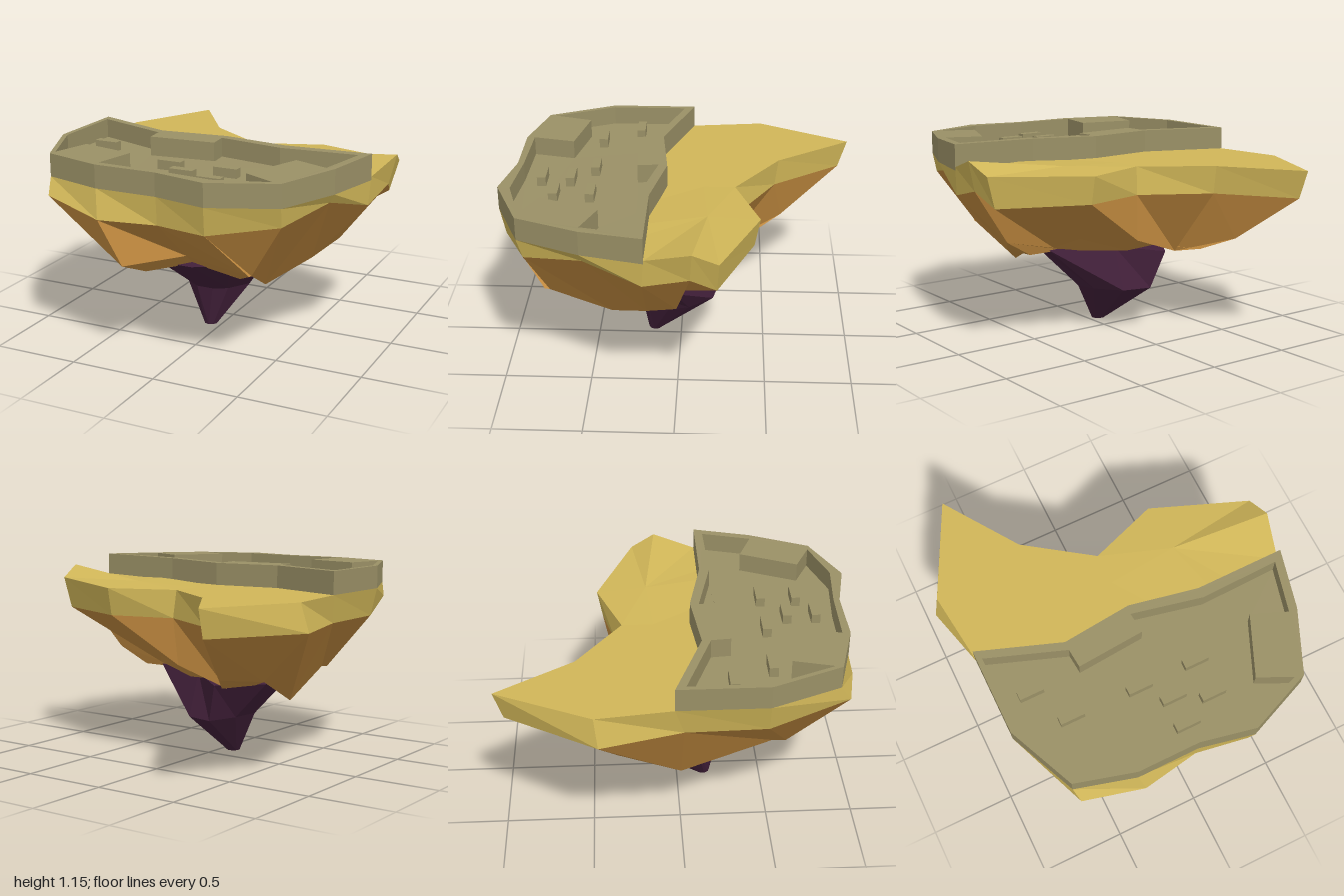
import * as THREE from 'three';

const mat = (color) => new THREE.MeshStandardMaterial({ color, flatShading: true });
const sand = mat(0xd0b658), rock = mat(0xc48c40), root = mat(0x42203a), stone = mat(0x9a9066);

// Island rim, middle band and underside: matching [x, y, z] rings, clockwise from the back tip
const rim = [
  [-0.66, 1, -1], [-0.37, 1, -0.57], [0, 1, -0.31], [0.39, 1, -0.45],
  [0.93, 1.02, -0.23], [0.96, 1.09, -0.09], [0.9, 1.02, 0.16], [0.82, 1, 0.5],
  [0.67, 1, 0.85], [0.31, 1, 1], [0, 1, 0.93], [-0.36, 1, 0.93],
  [-0.7, 1, 0.84], [-0.87, 1, 0.45], [-0.87, 1, -0.05], [-0.92, 1, -0.47],
];
const band = [
  [-0.65, 0.84, -0.95], [-0.37, 0.84, -0.55], [0.01, 0.84, -0.33], [0.39, 0.84, -0.42],
  [0.88, 0.84, -0.22], [0.92, 0.92, -0.08], [0.89, 0.86, 0.17], [0.79, 0.95, 0.49],
  [0.66, 0.89, 0.82], [0.3, 0.84, 0.97], [0, 0.84, 0.92], [-0.33, 0.84, 0.975],
  [-0.68, 0.91, 0.9], [-0.83, 0.84, 0.45], [-0.84, 0.84, 0], [-0.96, 0.84, -0.45],
];
const under = [
  [-0.5, 0.57, -0.6], [-0.32, 0.46, -0.27], [-0.01, 0.57, -0.31], [0.26, 0.58, -0.12],
  [0.36, 0.52, 0], [0.67, 0.59, 0], [0.57, 0.51, 0.17], [0.38, 0.39, 0.38],
  [0.45, 0.565, 0.72], [0.45, 0.57, 0.75], [0, 0.57, 0.6], [-0.23, 0.57, 0.9],
  [-0.46, 0.49, 0.6], [-0.47, 0.5, 0.52], [-0.57, 0.38, 0], [-0.62, 0.54, -0.35],
];
const core = [-0.05, 0.49, 0.15];
// Flat part of the underside, drawn in towards the core
const keel = under.map(([x, , z]) => [x + (core[0] - x) * 0.24, core[1], z + (core[2] - z) * 0.24]);

// Root rings, same direction
const rootTop = [
  [-0.39, 0.47, 0.3], [-0.42, 0.46, -0.02], [-0.24, 0.47, -0.28], [0, 0.5, -0.1], [0.37, 0.5, 0.03],
  [0.34, 0.5, 0.25], [0.2, 0.5, 0.48], [0.02, 0.5, 0.58], [-0.17, 0.5, 0.58],
];
const rootMid = [
  [-0.25, 0.25, 0.12], [-0.23, 0.25, -0.05], [-0.17, 0.25, -0.23], [0, 0.25, -0.19], [0.11, 0.25, -0.05],
  [0.14, 0.25, 0.07], [0.06, 0.25, 0.2], [-0.02, 0.25, 0.24], [-0.12, 0.25, 0.24],
];
const rootTip = rootMid.map((_, i) => {
  const a = Math.PI * 0.93 + (i / 9) * Math.PI * 2;
  return [-0.07 + 0.04 * Math.cos(a), 0, 0.16 + 0.04 * Math.sin(a)];
});

// Triangles between two rings, facing outwards
function bridge(top, low) {
  return top.flatMap((t, i) => {
    const j = (i + 1) % top.length;
    return [top[j], low[j], low[i], top[j], low[i], t];
  });
}

// Triangles closing a ring to a point, facing down (or up)
function fan(ring, centre, up = false) {
  return ring.flatMap((p, i) => {
    const q = ring[(i + 1) % ring.length];
    return up ? [q, p, centre] : [p, q, centre];
  });
}

function faceMesh(name, points, material) {
  const g = new THREE.BufferGeometry();
  g.setAttribute('position', new THREE.Float32BufferAttribute(points.flat(), 3));
  g.computeVertexNormals();
  const m = new THREE.Mesh(g, material);
  m.name = name;
  return m;
}

// Sand surface: a low ridge on the left, the rest triangulated, all facing up
function sandTop() {
  const ridge = [0.4, 1.02, -0.16], ridgeEnd = [0, 1, -0.13];
  const out = [];
  for (let i = 2; i < 6; i++) out.push(rim[i + 1], rim[i], ridge);
  out.push(ridge, rim[2], ridgeEnd);
  const rest = [...rim.slice(6), rim[0], rim[1], rim[2], ridgeEnd, ridge];
  const flat = rest.map(([x, , z]) => new THREE.Vector2(x, -z));
  for (const [a, b, c] of THREE.ShapeUtils.triangulateShape(flat, [])) {
    const [p, q, r] = [flat[a], flat[b], flat[c]];
    const ccw = (q.x - p.x) * (r.y - p.y) - (q.y - p.y) * (r.x - p.x) > 0;
    out.push(rest[a], rest[ccw ? b : c], rest[ccw ? c : b]);
  }
  return out;
}

// Fort plan: outer wall, and inner courtyard with notches for the three towers
const outer = [
  [0.9, 0.16], [0.82, 0.5], [0.67, 0.85], [0.31, 1], [0, 0.935], [-0.36, 0.935],
  [-0.7, 0.84], [-0.87, 0.45], [-0.87, -0.05], [-0.4, 0.12], [0, 0.08], [0.39, 0.16],
];
const inner = [
  [-0.84, 0.01], [-0.4, 0.17], [-0.39, 0.28], [0, 0.25], [-0.01, 0.13], [0.39, 0.22],
  [0.84, 0.21], [0.77, 0.5], [0.57, 0.42], [0.43, 0.75], [0.62, 0.84], [0.32, 0.93],
  [0, 0.9], [-0.36, 0.89], [-0.31, 0.65], [-0.63, 0.58], [-0.69, 0.8], [-0.84, 0.45],
];
// Points run anticlockwise so that extruded sides and holes face the right way
const plan = (pts) => pts.map(([x, z]) => new THREE.Vector2(x, -z)).reverse();

function slab(name, shape, y, height) {
  const g = new THREE.ExtrudeGeometry(shape, { depth: height, bevelEnabled: false });
  g.rotateX(-Math.PI / 2).translate(0, y, 0);
  const p = g.attributes.position;
  // the top rises gently towards the back left corner
  for (let i = 0; i < p.count; i++) {
    if (p.getY(i) < y + height / 2) continue;
    p.setY(i, p.getY(i) + 0.025 * Math.max(0, p.getX(i)) * Math.max(0, 0.9 - p.getZ(i)));
  }
  g.computeVertexNormals();
  const m = new THREE.Mesh(g, stone);
  m.name = name;
  return m;
}

export function createModel() {
  const model = new THREE.Group();
  model.name = 'floatingIsland';

  // Island
  model.add(faceMesh('sandTop', sandTop(), sand));
  model.add(faceMesh('sandEdge', bridge(rim, band), sand));
  model.add(faceMesh('rockBody', [...bridge(band, under), ...bridge(under, keel), ...fan(keel, core)], rock));

  // Hanging root
  model.add(faceMesh('root', [
    ...fan(rootTop, [-0.05, 0.52, 0.15], true),
    ...bridge(rootTop, rootMid),
    ...bridge(rootMid, rootTip),
    ...fan(rootTip, [-0.07, 0, 0.16]),
  ], root));

  // Fort walls, courtyard floor
  const walls = new THREE.Shape(plan(outer));
  walls.holes.push(new THREE.Path(plan(inner)));
  model.add(slab('fortWalls', walls, 1, 0.13));
  model.add(slab('courtyardFloor', new THREE.Shape(plan(inner)), 1, 0.02));

  // Small houses
  const houses = new THREE.Group();
  houses.name = 'houses';
  const spots = [[-0.68, 0.27], [-0.54, 0.49], [-0.14, 0.5], [0.2, 0.5], [0, 0.63], [0.2, 0.705], [0, 0.795]];
  for (const [x, z] of spots) {
    const house = new THREE.Mesh(new THREE.BoxGeometry(0.14, 0.06, 0.05), stone);
    house.name = 'house';
    house.position.set(x, 1.045, z);
    houses.add(house);
  }
  model.add(houses);
  return model;
}
